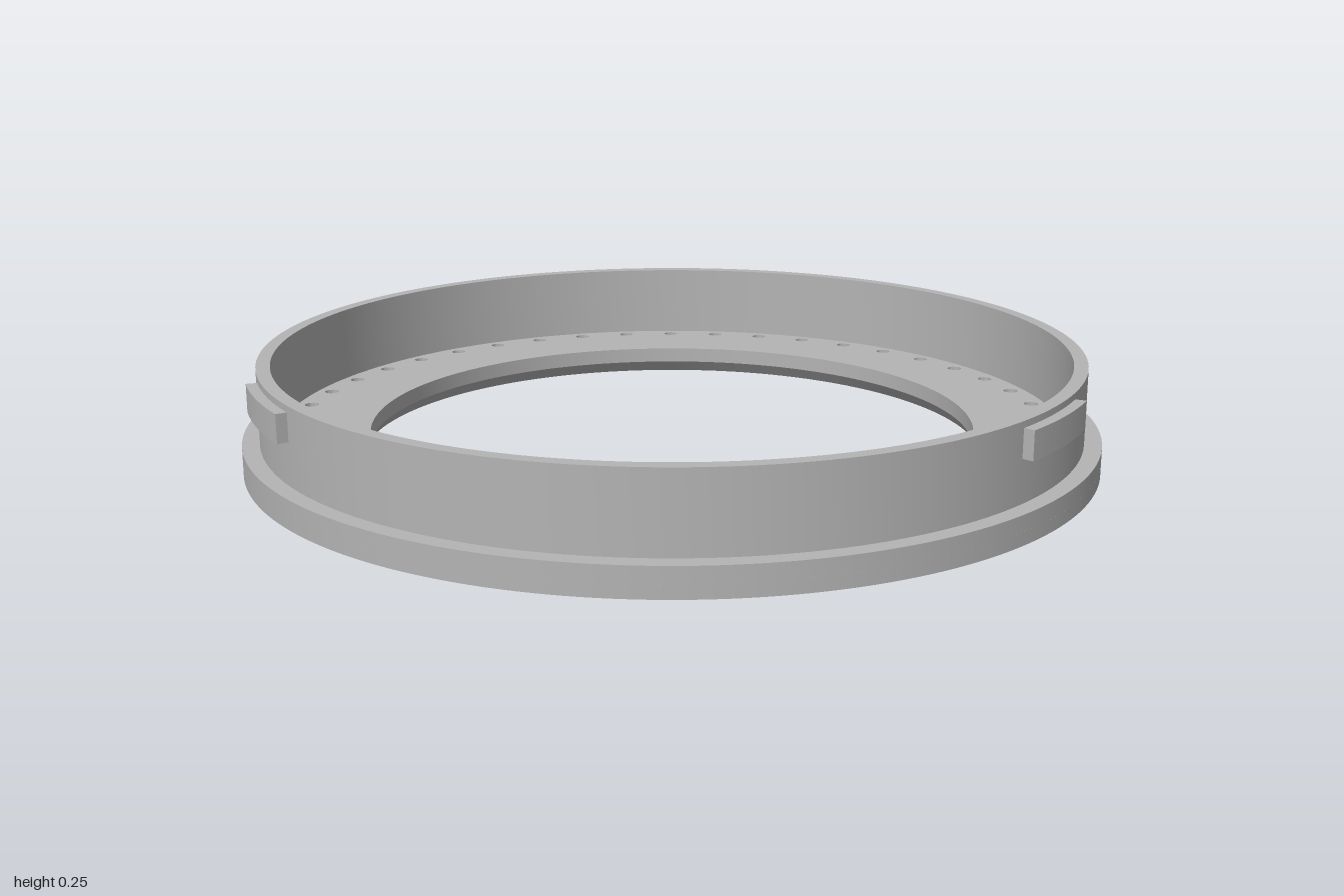
import * as THREE from 'three';
import { toCreasedNormals } from 'three/addons/utils/BufferGeometryUtils.js';

const HOLES = 44, HOLE_R = 0.0175, HOLE_CIRCLE = 0.892;
const FLOOR_TOP = 0.067, STEP = 0.03, TOP = 0.245;
const INNER = 0.71, CHAMFER_R = 0.733;
const WALL_IN = 0.928, WALL_OUT = 0.96, TAB_OUT = 0.985;

export function createModel() {
  const grey = new THREE.MeshStandardMaterial({ color: 0xb4b4b4 });
  grey.name = 'plain grey';
  const group = new THREE.Group();
  group.name = 'mountingRing';

  const add = (name, geometry) => {
    const mesh = new THREE.Mesh(geometry, grey);
    mesh.name = name;
    group.add(mesh);
  };

  // Extrudes a plan outline upward from y0 to y1
  const slab = (shape, y0, y1) => {
    const g = new THREE.ExtrudeGeometry(shape, { depth: y1 - y0, bevelEnabled: false, curveSegments: 96 });
    g.rotateX(-Math.PI / 2).translate(0, y0, 0);
    return toCreasedNormals(g, 0.6);
  };
  const disc = (r) => new THREE.Shape().absarc(0, 0, r, 0, Math.PI * 2);
  const cutCircle = (shape, r) => shape.holes.push(new THREE.Path().absarc(0, 0, r, 0, Math.PI * 2, true));

  // Circle of small bolt holes
  const cutBoltHoles = (shape) => {
    for (let i = 0; i < HOLES; i++) {
      const a = -THREE.MathUtils.degToRad(3.5 + (i * 360) / HOLES);
      const pts = [];
      for (let k = 0; k < 16; k++) {
        const t = (-k / 16) * Math.PI * 2;
        pts.push(new THREE.Vector2(
          HOLE_CIRCLE * Math.cos(a) + HOLE_R * Math.cos(t),
          HOLE_CIRCLE * Math.sin(a) + HOLE_R * Math.sin(t)));
      }
      pts.push(pts[0].clone());
      shape.holes.push(new THREE.Path(pts));
    }
  };

  // Lower flange layer with a curved finger notch on each side
  const halfWidth = 0.095, depthX = 0.955;
  const a0 = Math.asin(halfWidth), edgeX = Math.cos(a0), sag = edgeX - depthX;
  const R = (halfWidth ** 2 + sag ** 2) / (2 * sag);
  const c = depthX + R, b = Math.asin(halfWidth / R);
  const lower = new THREE.Shape();
  lower.absarc(0, 0, 1, a0, Math.PI - a0);
  lower.absarc(-c, 0, R, b, -b, true);
  lower.absarc(0, 0, 1, Math.PI + a0, 2 * Math.PI - a0);
  lower.absarc(c, 0, R, Math.PI + b, Math.PI - b, true);
  cutCircle(lower, CHAMFER_R);
  cutBoltHoles(lower);
  add('lowerFlange', slab(lower, 0, STEP));

  // Upper flange layer
  const upper = disc(1);
  cutCircle(upper, INNER);
  cutBoltHoles(upper);
  add('upperFlange', slab(upper, STEP, FLOOR_TOP));

  // Chamfer under the central opening
  add('openingChamfer', new THREE.LatheGeometry(
    [new THREE.Vector2(INNER, STEP), new THREE.Vector2(CHAMFER_R, 0)], 192));

  // Upright wall
  const wall = disc(WALL_OUT);
  cutCircle(wall, WALL_IN);
  add('wall', slab(wall, FLOOR_TOP, TOP));

  // Three curved locking tabs around the wall
  const half = THREE.MathUtils.degToRad(8);
  ['backTab', 'rightTab', 'leftTab'].forEach((name, i) => {
    const mid = Math.PI / 2 + (i * Math.PI * 2) / 3;
    const tab = new THREE.Shape();
    tab.absarc(0, 0, TAB_OUT, mid - half, mid + half);
    tab.absarc(0, 0, WALL_OUT - 0.01, mid + half, mid - half, true);
    add(name, slab(tab, 0.165, 0.23));
  });

  return group;
}
